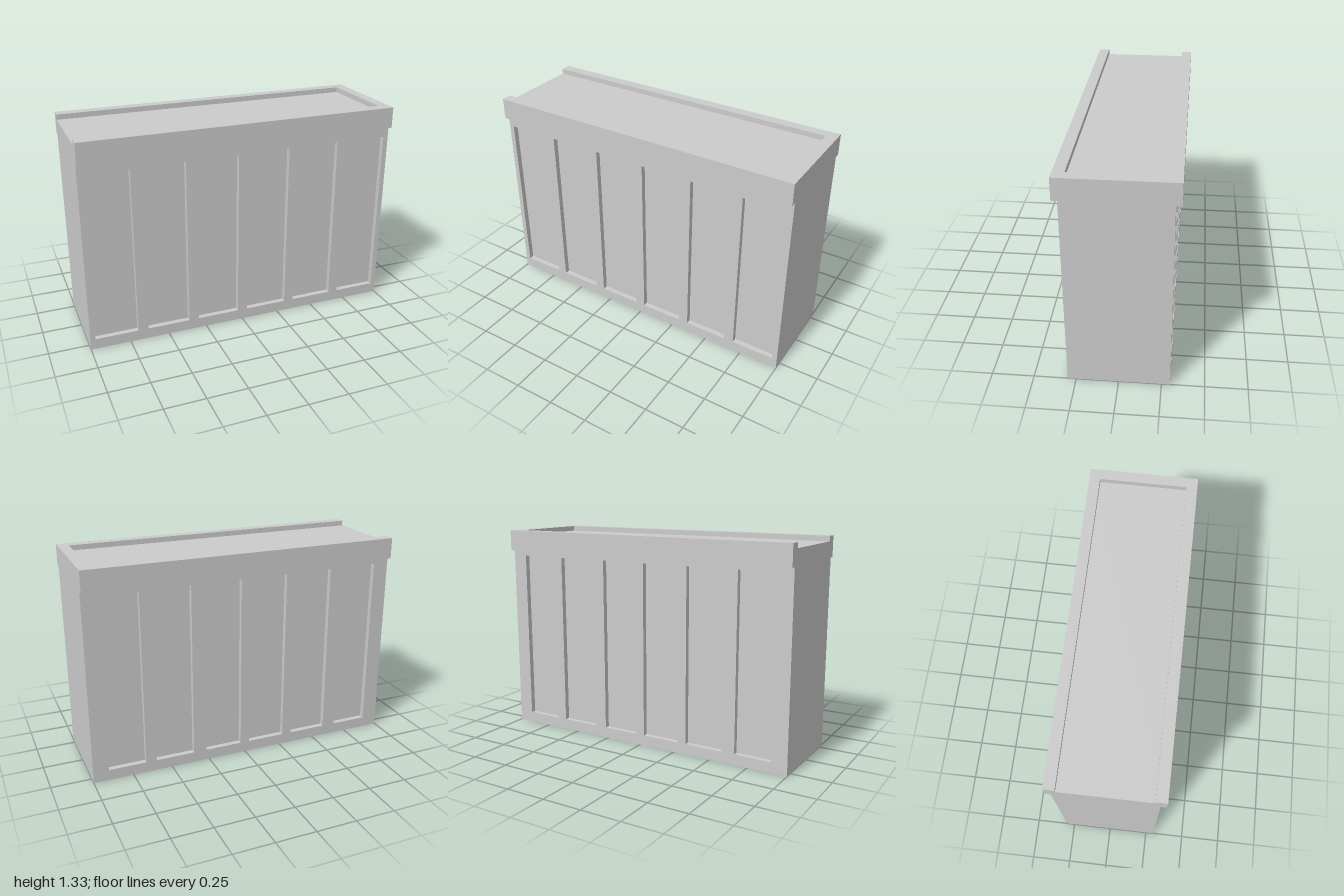
import * as THREE from 'three';

const WIDTH = 2, BODY_TOP = 1.2, RECESS = 0.033;
const material = new THREE.MeshStandardMaterial({ color: 0xcccccc, flatShading: true });

function addMesh(group, name, geometry, x = 0, y = 0, z = 0) {
  const mesh = new THREE.Mesh(geometry, material);
  mesh.name = name;
  mesh.position.set(x, y, z);
  group.add(mesh);
  return mesh;
}

function polygon(points, Type = THREE.Shape) {
  return new Type(points.map(([x, y]) => new THREE.Vector2(x, y)));
}

function rectangle(x0, y0, x1, y1, Type) {
  return polygon([[x0, y0], [x1, y0], [x1, y1], [x0, y1]], Type);
}

// Board with a row of rectangular openings, extruded towards +z
function panelFrame(openings, bottom, top) {
  const shape = rectangle(-WIDTH / 2, 0, WIDTH / 2, BODY_TOP);
  for (const [x0, x1] of openings) shape.holes.push(rectangle(x0, bottom, x1, top, THREE.Path));
  return new THREE.ExtrudeGeometry(shape, { depth: RECESS, bevelEnabled: false });
}

export function createModel() {
  const model = new THREE.Group();
  model.name = 'counter';

  // Core whose front and back faces form the recessed panels
  const coreZ = 0.3 - RECESS;
  addMesh(model, 'core', new THREE.BoxGeometry(WIDTH, BODY_TOP, coreZ * 2), 0, BODY_TOP / 2, 0);

  // Front frame: six evenly spaced panels
  const front = [];
  for (let i = 0; i < 6; i++) {
    const centre = (i - 2.5) / 3;
    front.push([centre - 0.135, centre + 0.135]);
  }
  addMesh(model, 'frontFrame', panelFrame(front, 0.067, 1.135), 0, 0, coreZ);

  // Back frame: slightly narrower, taller panels (x as seen from behind)
  const back = [[-0.903, -0.667], [-0.6, -0.352], [-0.267, -0.03], [0.03, 0.273], [0.333, 0.58], [0.665, 0.9]];
  const backFrame = addMesh(model, 'backFrame', panelFrame(back, 0.067, 1.167), 0, 0, -coreZ);
  backFrame.rotation.y = Math.PI;

  // Overhanging top slab
  addMesh(model, 'topSlab', new THREE.BoxGeometry(WIDTH, 0.1, 0.667), 0, 1.25, 0);

  // Raised rim around three edges, open at the -x end
  const rim = polygon([
    [-1, -0.3335], [1, -0.3335], [1, 0.3335], [-1, 0.3335],
    [-1, 0.267], [0.933, 0.267], [0.933, -0.267], [-1, -0.267],
  ]);
  const rimGeometry = new THREE.ExtrudeGeometry(rim, { depth: 0.033, bevelEnabled: false });
  rimGeometry.rotateX(-Math.PI / 2);
  addMesh(model, 'topRim', rimGeometry, 0, 1.3, 0);

  return model;
}
